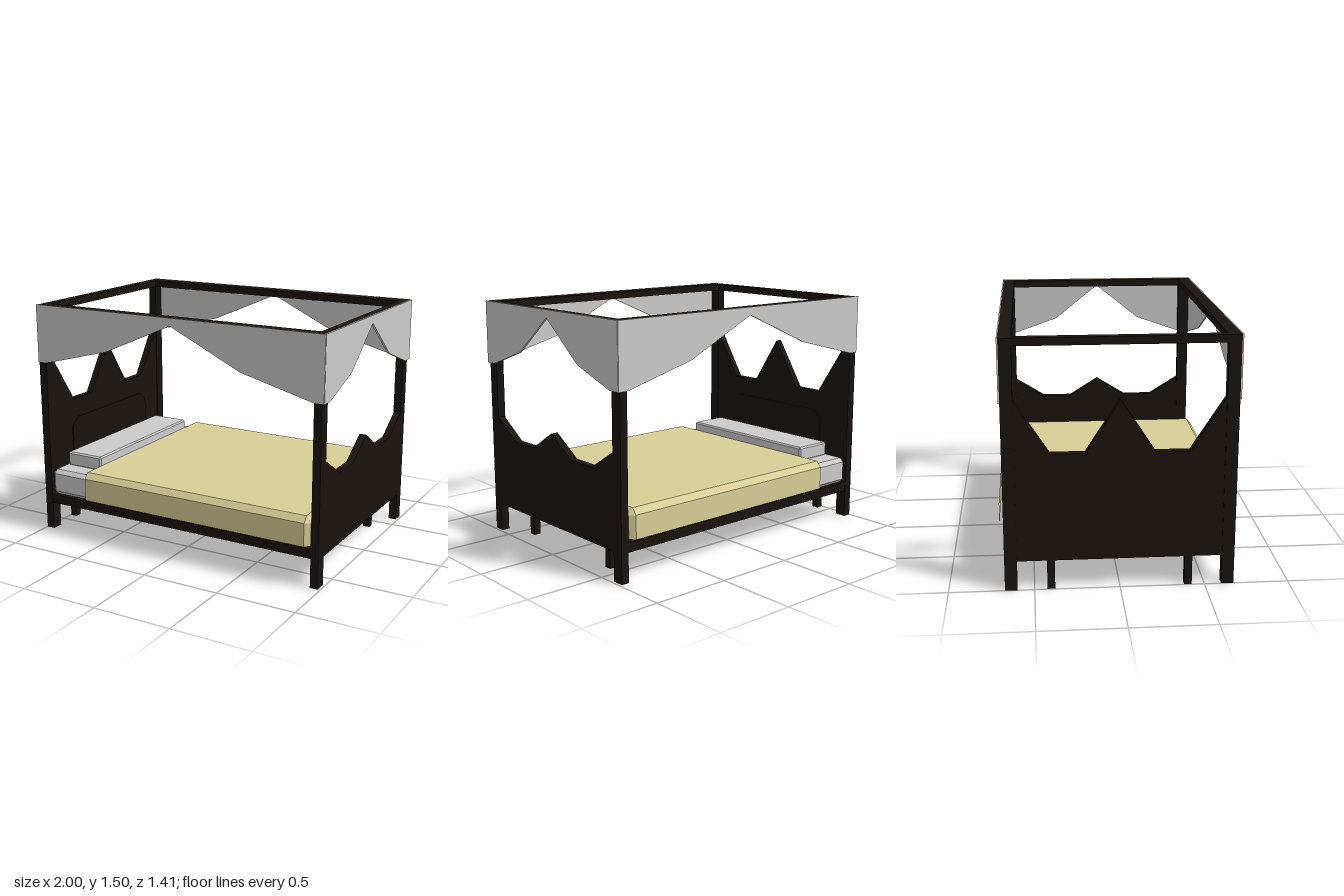
import * as THREE from 'three';
import { ConvexGeometry } from 'three/addons/geometries/ConvexGeometry.js';

const wood = new THREE.MeshStandardMaterial({ color: 0x1a130e });
const cloth = new THREE.MeshStandardMaterial({ color: 0xcccccc, side: THREE.DoubleSide });
const linen = new THREE.MeshStandardMaterial({ color: 0xd8cf97, side: THREE.DoubleSide, flatShading: true });

export function createModel() {
  const bed = new THREE.Group();

  const add = (name, geometry, material) => {
    const mesh = new THREE.Mesh(geometry, material);
    mesh.name = name;
    bed.add(mesh);
    return mesh;
  };

  // Box given by its extents along each axis
  const box = (name, [x0, x1], [y0, y1], [z0, z1], material = wood) =>
    add(name, new THREE.BoxGeometry(x1 - x0, y1 - y0, z1 - z0), material)
      .position.set((x0 + x1) / 2, (y0 + y1) / 2, (z0 + z1) / 2);

  // Box with every edge chamfered by c
  const chamferBox = (name, xs, ys, zs, c, material) => {
    const points = [];
    for (const i of [0, 1]) for (const j of [0, 1]) for (const k of [0, 1]) {
      const p = [xs[i], ys[j], zs[k]];
      const inward = [i, j, k].map((s) => (s ? -c : c));
      for (let face = 0; face < 3; face++) {
        points.push(new THREE.Vector3(...p.map((v, a) => (a === face ? v : v + inward[a]))));
      }
    }
    add(name, new ConvexGeometry(points), material);
  };

  // Upright panel across the bed, outlined in (z, y), filling x0..x1
  const endPanel = (name, outline, x0, x1, material) => {
    const shape = new THREE.Shape(outline.map(([z, y]) => new THREE.Vector2(-z, y)));
    const geometry = new THREE.ExtrudeGeometry(shape, { depth: x1 - x0, bevelEnabled: false });
    geometry.rotateY(Math.PI / 2).translate(x0, 0, 0);
    add(name, geometry, material);
  };

  // Mirrors the left half of a symmetric outline
  const mirrored = (half) => [...half, ...half.filter(([u]) => u !== 0).reverse().map(([u, v]) => [-u, v])];

  // Posts, short inner legs and canopy rails
  const head = [-1, -0.945];
  const foot = [0.935, 0.985];
  for (const s of [-1, 1]) {
    const post = s > 0 ? [0.6, 0.673] : [-0.673, -0.6];
    const leg = s > 0 ? [0.38, 0.425] : [-0.425, -0.38];
    box('headPost', head, [0, 1.5], post);
    box('footPost', foot, [0, 1.5], post);
    box('headInnerLeg', [-0.995, -0.95], [0, 0.18], leg);
    box('footInnerLeg', [0.835, 0.88], [0, 0.18], leg);
    box('sideCanopyRail', [-0.945, 0.935], [1.455, 1.5], post);
  }
  box('headCanopyRail', head, [1.455, 1.5], [-0.6, 0.6]);
  box('footCanopyRail', foot, [1.455, 1.5], [-0.6, 0.6]);
  box('bedBase', [-0.945, 0.935], [0.18, 0.24], [-0.67, 0.67]);

  // Peaked head and foot boards
  const board = (peak, dip) => mirrored([[-0.6, 0.18], [-0.6, peak], [-0.4, dip], [-0.2, dip], [0, peak]]);
  endPanel('headboard', board(1.14, 0.83), -0.995, -0.95, wood);
  endPanel('footboard', board(0.76, 0.635), 0.94, 0.985, wood);
  endPanel('headboardInset', mirrored([[-0.43, 0.3], [-0.43, 0.65], [-0.36, 0.7]]), -0.95, -0.942, wood);

  // Bedding
  chamferBox('mattress', [-0.948, 0.9], [0.24, 0.41], [-0.665, 0.665], 0.025, cloth);
  chamferBox('pillow', [-0.915, -0.65], [0.405, 0.5], [-0.52, 0.53], 0.01, cloth);

  // Blanket: open shell swept along x through cross-sections in (z, y)
  const section = (x, side, shoulder, top, crown) =>
    mirrored([[-side, 0.26], [-side, shoulder], [-crown, top]]).map(([z, y]) => [x, y, z]);
  const loops = [
    section(-0.648, 0.706, 0.405, 0.442, 0.675),
    section(0.905, 0.706, 0.405, 0.442, 0.675),
    section(0.934, 0.675, 0.4, 0.408, 0.668),
  ];
  const index = [];
  for (let r = 0; r < 2; r++) for (let i = 0; i < 5; i++) {
    const a = r * 6 + i, b = a + 6;
    index.push(a, b, a + 1, b, b + 1, a + 1);
  }
  for (let i = 1; i < 5; i++) index.push(12, 12 + i + 1, 12 + i);
  const blanket = new THREE.BufferGeometry();
  blanket.setAttribute('position', new THREE.Float32BufferAttribute(loops.flat(2), 3));
  blanket.setIndex(index);
  const flat = blanket.toNonIndexed();
  flat.computeVertexNormals();
  add('blanket', flat, linen);

  // Canopy valances on both long sides and the foot
  const sideOutline = [
    [-1, 1.503], [-1, 1.13], [-0.94, 1.13], [-0.47, 1.25], [0, 1.455],
    [0.47, 1.232], [0.94, 1.11], [0.998, 1.11], [0.998, 1.503],
  ];
  const sideShape = new THREE.Shape(sideOutline.map(([x, y]) => new THREE.Vector2(x, y)));
  for (const z of [-0.681, 0.673]) {
    const geometry = new THREE.ExtrudeGeometry(sideShape, { depth: 0.008, bevelEnabled: false });
    add('sideValance', geometry.translate(0, 0, z), cloth);
  }
  const footOutline = mirrored([[-0.676, 1.503], [-0.676, 1.11], [-0.6, 1.11], [-0.3, 1.215], [0, 1.455]]);
  endPanel('footValance', footOutline, 0.986, 1, cloth);

  return bed;
}
